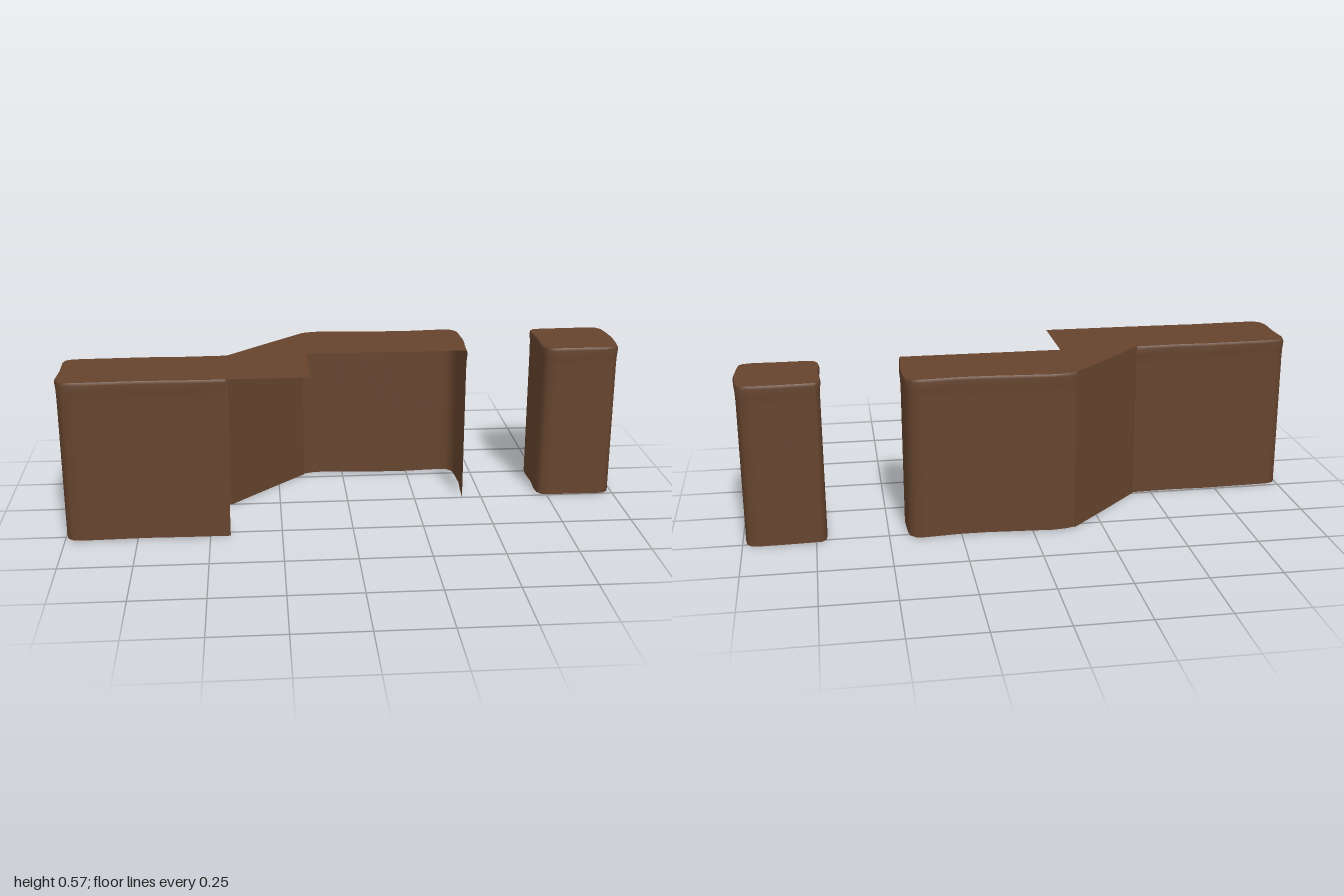
import * as THREE from 'three';

const HEIGHT = 0.573;
// Wall profile: [height, outward offset], with a soft flared rim under the roof
const PROFILE = [[0.004, 0], [0.25, 0], [0.5, 0], [0.535, 0.001], [0.563, 0.004], [HEIGHT, 0]];

// Open wall that follows a path of [x, z] points, outward on the left-hand side of travel
function wallGeometry(path, profile = PROFILE) {
  const n = path.length, positions = [], index = [];
  const closed = path[0][0] === path[n - 1][0] && path[0][1] === path[n - 1][1];
  for (const [y, offset] of profile) {
    path.forEach(([x, z], i) => {
      const a = i > 0 ? path[i - 1] : closed ? path[n - 2] : path[0];
      const b = i < n - 1 ? path[i + 1] : closed ? path[1] : path[n - 1];
      const dx = b[0] - a[0], dz = b[1] - a[1], len = Math.hypot(dx, dz);
      positions.push(x + (dz / len) * offset, y, z - (dx / len) * offset);
    });
  }
  for (let j = 0; j < profile.length - 1; j++) {
    for (let i = 0; i < n - 1; i++) {
      const a = j * n + i, b = a + 1, c = a + n, d = c + 1;
      index.push(a, c, b, b, c, d);
    }
  }
  const geometry = new THREE.BufferGeometry();
  geometry.setAttribute('position', new THREE.Float32BufferAttribute(positions, 3));
  geometry.setIndex(index);
  geometry.computeVertexNormals();
  // Make the winding agree with the outward side of the path
  const p = geometry.attributes.normal, dx = path[1][0] - path[0][0], dz = path[1][1] - path[0][1];
  if (p.getX(n) * dz - p.getZ(n) * dx < 0) {
    geometry.setIndex(index.slice().reverse());
    geometry.computeVertexNormals();
  }
  // Share normals across the seam of closed walls
  if (closed) {
    const v = new THREE.Vector3(), w = new THREE.Vector3(), normals = geometry.attributes.normal;
    for (let j = 0; j < profile.length; j++) {
      const s = j * n, e = s + n - 1;
      v.fromBufferAttribute(normals, s).add(w.fromBufferAttribute(normals, e)).normalize();
      normals.setXYZ(s, v.x, v.y, v.z);
      normals.setXYZ(e, v.x, v.y, v.z);
    }
  }
  return geometry;
}

// Flat roof over an outline of [x, z] points
function roofGeometry(outline) {
  const shape = new THREE.Shape(outline.map(([x, z]) => new THREE.Vector2(x, -z)));
  return new THREE.ShapeGeometry(shape).rotateX(-Math.PI / 2).translate(0, HEIGHT, 0);
}

export function createModel() {
  const model = new THREE.Group();
  model.name = 'wallBlocks';
  const brown = new THREE.MeshStandardMaterial({ color: 0x66442e, side: THREE.DoubleSide });
  brown.name = 'earthBrown';

  const add = (name, geometry, parent) => {
    const mesh = new THREE.Mesh(geometry, brown);
    mesh.name = name;
    parent.add(mesh);
  };

  // Stepped block: two straight runs joined by a diagonal, with open front gaps
  const stepped = new THREE.Group();
  stepped.name = 'steppedBlock';
  model.add(stepped);
  const frontRun = [
    [-0.43, 0.287], [-0.58, 0.286], [-0.72, 0.283], [-0.93, 0.289], [-0.97, 0.286], [-0.99, 0.268],
    [-0.998, 0.235], [-0.994, 0.15], [-0.997, 0.05], [-0.99, 0.022], [-0.965, 0.01], [-0.92, 0.008],
    [-0.71, 0.003], [-0.58, 0.007], [-0.43, 0.003],
  ];
  const diagonal = [[-0.43, 0.003], [-0.29, -0.14], [-0.15, -0.28]];
  const backRun = [
    [-0.15, -0.28], [-0.115, -0.291], [-0.07, -0.296], [0.03, -0.289], [0.16, -0.28], [0.25, -0.279],
    [0.38, -0.289], [0.41, -0.284], [0.429, -0.265], [0.434, -0.23], [0.438, -0.14], [0.432, -0.07], [0.428, 0.003],
  ];
  add('frontRunWall', wallGeometry(frontRun), stepped);
  add('diagonalWall', wallGeometry(diagonal, [[0.001, 0], [0.3, 0], [HEIGHT, 0]]), stepped);
  add('backRunWall', wallGeometry(backRun), stepped);
  add('steppedRoof', roofGeometry([
    ...frontRun, ...diagonal.slice(1), ...backRun.slice(1), [-0.147, 0.003], [-0.147, 0.287],
  ]), stepped);

  // Free-standing square post
  const post = new THREE.Group();
  post.name = 'squarePost';
  model.add(post);
  const postOutline = [
    [0.85, 0.001], [0.76, 0.002], [0.73, -0.003], [0.716, -0.025], [0.713, -0.06], [0.717, -0.135],
    [0.712, -0.22], [0.716, -0.255], [0.73, -0.27], [0.77, -0.272], [0.85, -0.275], [0.94, -0.276],
    [0.97, -0.27], [0.985, -0.25], [0.99, -0.21], [0.995, -0.135], [0.989, -0.05],
    [0.985, -0.02], [0.97, -0.003], [0.94, 0.003], [0.85, 0.001],
  ];
  add('postWall', wallGeometry(postOutline), post);
  add('postRoof', roofGeometry(postOutline.slice(0, -1)), post);

  return model;
}
